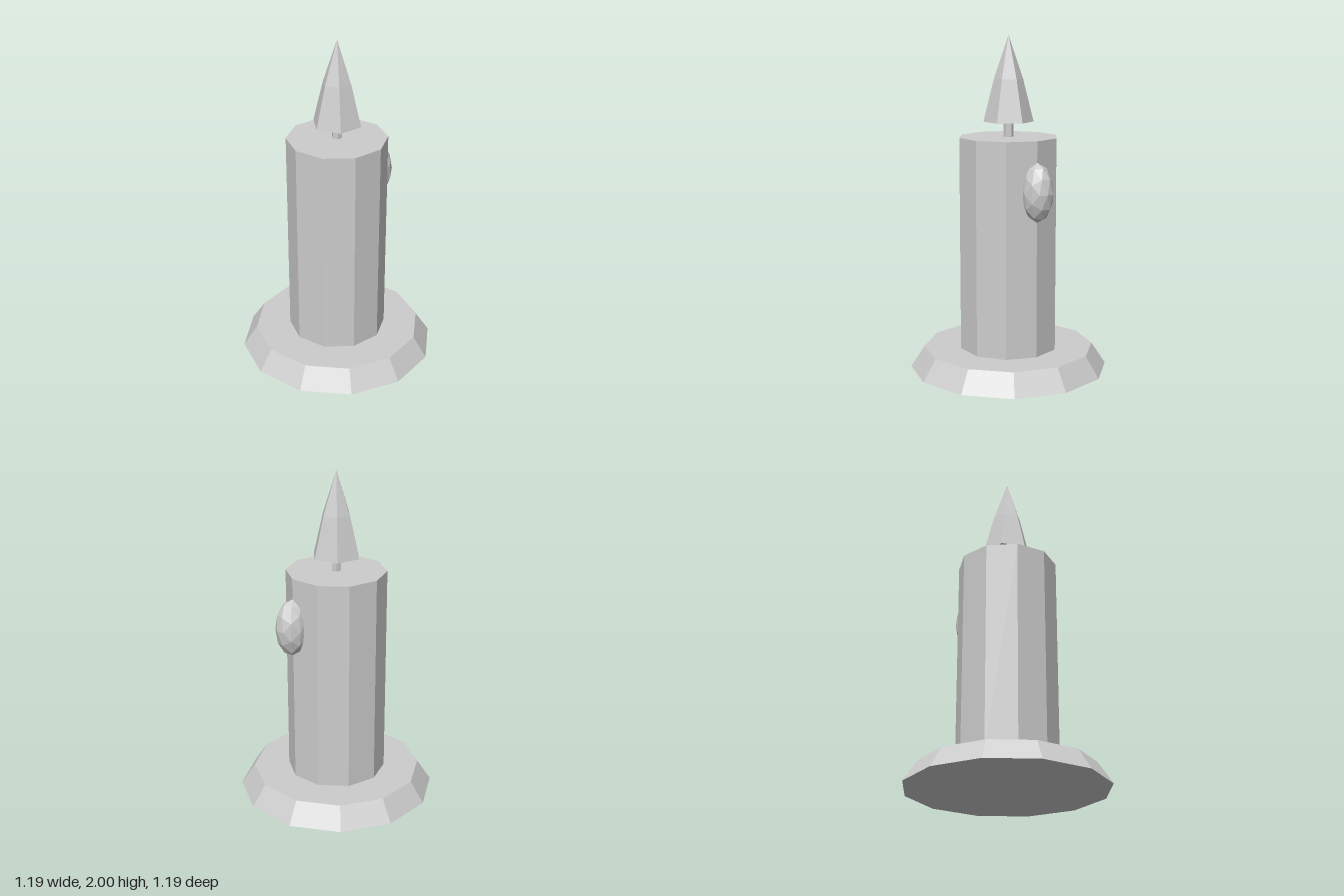
import * as THREE from 'three';

export function createModel() {
  const model = new THREE.Group();
  const grey = new THREE.MeshStandardMaterial({ color: 0xcccccc });
  grey.name = 'plain grey';
  grey.flatShading = true;

  const add = (name, geometry, x, y) => {
    const mesh = new THREE.Mesh(geometry, grey);
    mesh.name = name;
    mesh.position.set(x, y, 0);
    model.add(mesh);
    return mesh;
  };

  // Prism or frustum standing on y = bottom; turn rotates its corners
  const frustum = (name, rTop, rBottom, bottom, top, sides, turn = 0) =>
    add(name, new THREE.CylinderGeometry(rTop, rBottom, top - bottom, sides, 1, false, turn), 0, (top + bottom) / 2);

  // Sloped dish and candle body
  frustum('dish', 0.512, 0.596, 0, 0.127, 12);
  frustum('candleBody', 0.298, 0.298, 0.127, 1.407, 10, Math.PI / 2);
  frustum('wick', 0.03, 0.03, 1.407, 1.52, 6, Math.PI / 2);

  // Six-sided flame with a slight bulge, closed underneath
  const flameProfile = [[0, 1.495], [0.148, 1.495], [0.086, 1.745], [0, 2]]
    .map(([r, y]) => new THREE.Vector2(r, y));
  add('flame', new THREE.LatheGeometry(flameProfile, 6, Math.PI / 2), 0, 0);

  // Faceted wax drip on the left side
  add('waxDrip', new THREE.IcosahedronGeometry(1, 1), 0.3, 1.11).scale.set(0.105, 0.174, 0.09);

  return model;
}
